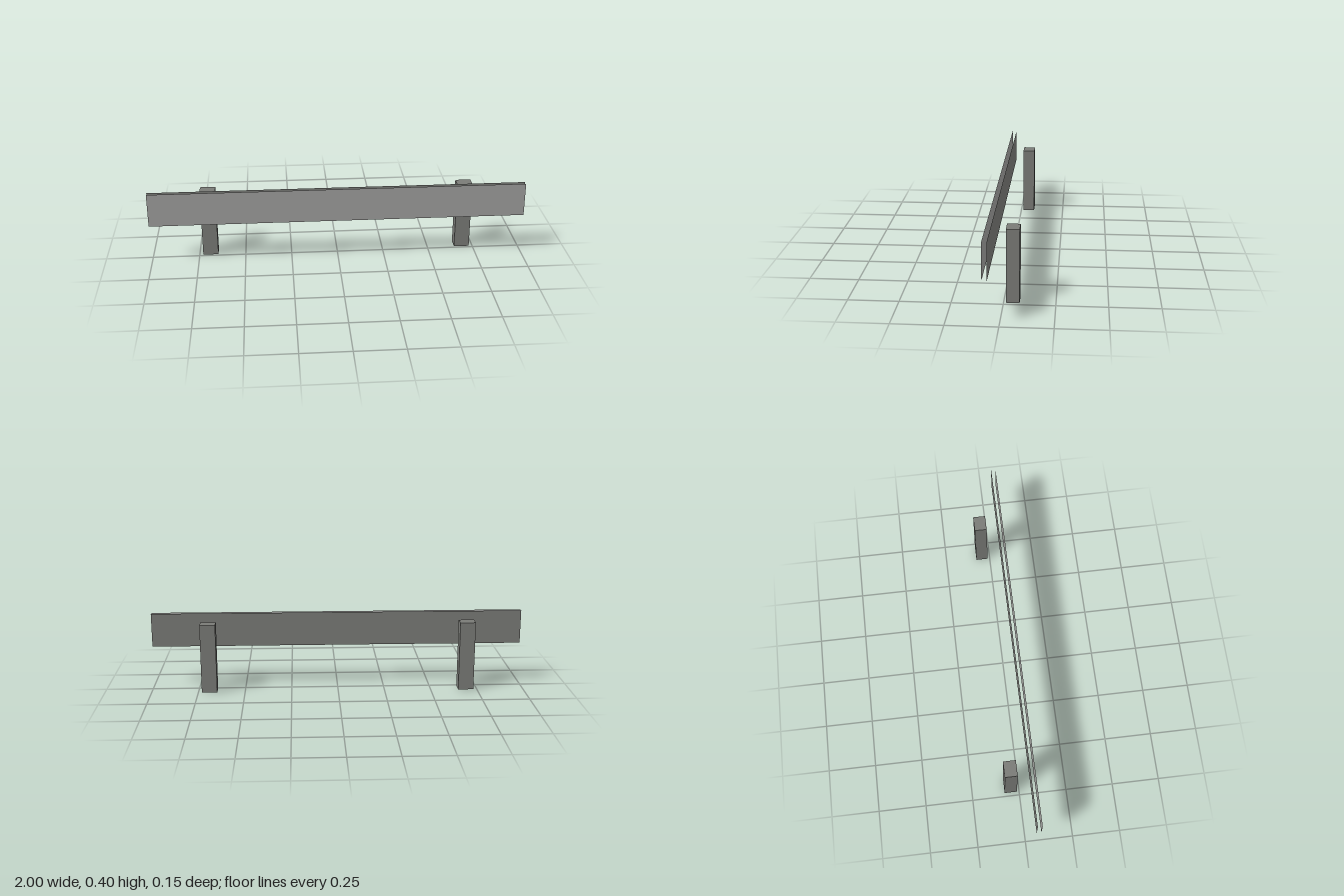
import * as THREE from 'three';

export function createModel() {
  const model = new THREE.Group();
  model.name = 'barrier';

  const lightGrey = new THREE.MeshStandardMaterial({ color: 0x9f9f9d, side: THREE.DoubleSide });
  lightGrey.name = 'light grey';
  const darkGrey = new THREE.MeshStandardMaterial({ color: 0x7a7b77, side: THREE.DoubleSide });
  darkGrey.name = 'dark grey';

  function add(name, geometry, material, x, y, z) {
    const mesh = new THREE.Mesh(geometry, material);
    mesh.name = name;
    mesh.position.set(x, y, z);
    model.add(mesh);
    return mesh;
  }

  // Long rail: two thin sheets with a gap between them
  const sheet = new THREE.PlaneGeometry(2, 0.182);
  add('railFront', sheet, lightGrey, 0, 0.313, 0.077);
  add('railBack', sheet, darkGrey, 0, 0.313, 0.053).rotation.y = Math.PI;

  // Hollow post: a box without its bottom face
  const height = 0.372;
  const post = new THREE.BoxGeometry(0.082, height, 0.065);
  const index = Array.from(post.index.array);
  index.splice(18, 6);
  post.setIndex(index);
  post.clearGroups();

  for (const [name, side] of [['leftPost', 1], ['rightPost', -1]]) {
    add(name, post, darkGrey, side * 0.69, height / 2, -0.0445);
  }

  return model;
}
